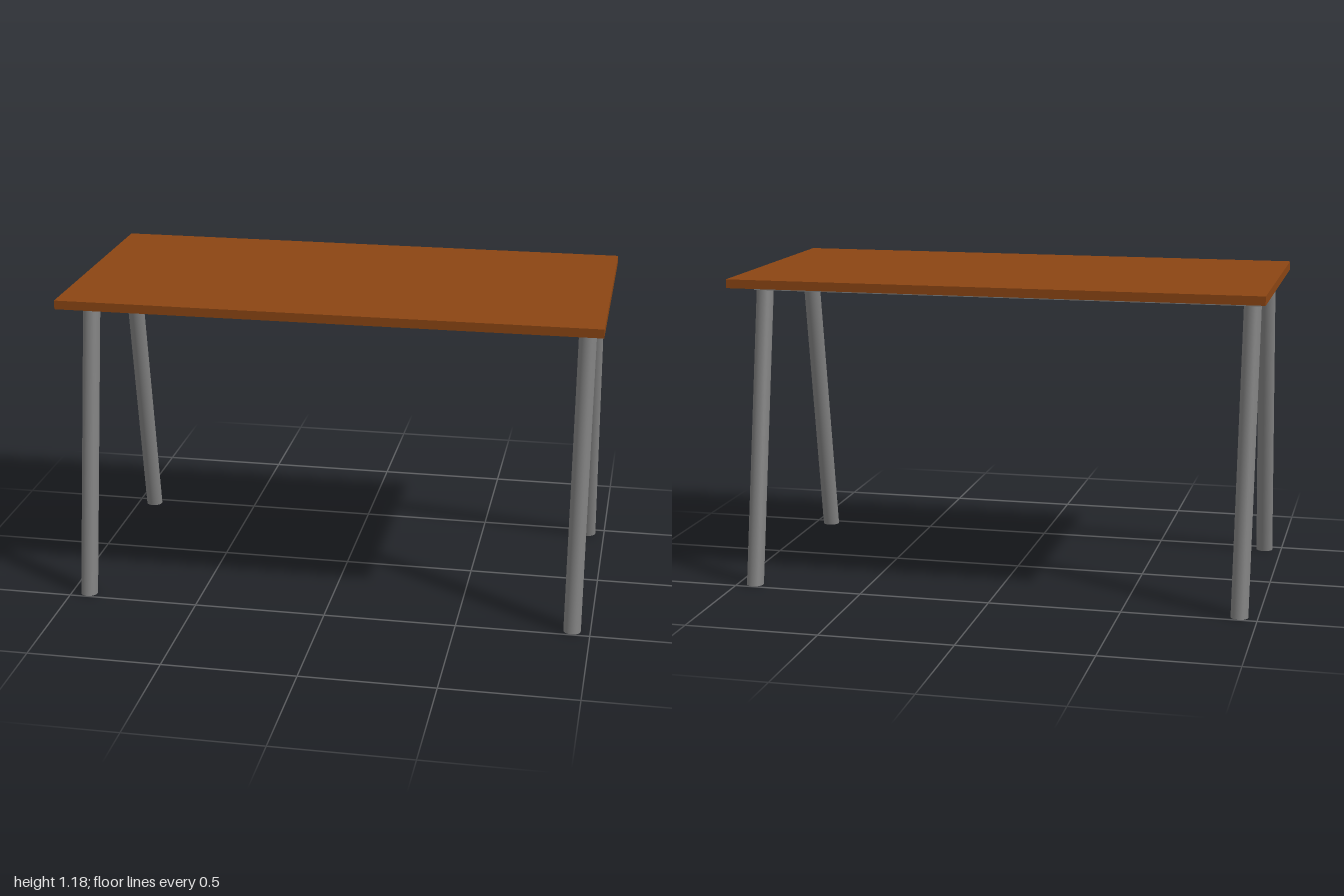
import * as THREE from 'three';

const wood = new THREE.MeshStandardMaterial({ color: 0x8b4513 });
const metal = new THREE.MeshStandardMaterial({ color: 0x808080 });

const TOP_Y = 1.185, TOP_T = 0.033;      // table top surface and thickness
const FRAME_T = 0.033, BAR = 0.065;      // frame height and bar width
const FRAME_X = 0.965, FRAME_Z = 0.3;    // frame outer half sizes
const LEG_H = TOP_Y - TOP_T - FRAME_T;
const SPLAY = 0.197;                     // outward run of each leg at the floor

function addBox(parent, name, size, pos, material) {
  const mesh = new THREE.Mesh(new THREE.BoxGeometry(...size), material);
  mesh.name = name;
  mesh.position.set(...pos);
  parent.add(mesh);
}

// Round leg sheared along z so both ends stay horizontal
function legGeometry(side) {
  const geo = new THREE.CylinderGeometry(BAR / 2, BAR / 2, LEG_H, 32);
  geo.translate(0, -LEG_H / 2, 0);
  const shear = new THREE.Matrix4();
  shear.elements[6] = -side * SPLAY / LEG_H;
  return geo.applyMatrix4(shear);
}

export function createModel() {
  const table = new THREE.Group();
  table.name = 'table';

  addBox(table, 'tableTop', [2, TOP_T, 1], [0, TOP_Y - TOP_T / 2, 0], wood);

  // Rectangular frame under the top
  const frame = new THREE.Group();
  frame.name = 'frame';
  table.add(frame);
  const frameY = LEG_H + FRAME_T / 2;
  for (const s of [1, -1]) {
    addBox(frame, s > 0 ? 'frontRail' : 'backRail', [2 * FRAME_X, FRAME_T, BAR],
      [0, frameY, s * (FRAME_Z - BAR / 2)], metal);
    addBox(frame, s > 0 ? 'leftRail' : 'rightRail', [BAR, FRAME_T, 2 * (FRAME_Z - BAR)],
      [s * (FRAME_X - BAR / 2), frameY, 0], metal);
  }

  // Four legs splayed to the front and back
  for (const sz of [1, -1]) {
    const geo = legGeometry(sz);
    for (const sx of [1, -1]) {
      const leg = new THREE.Mesh(geo, metal);
      leg.name = (sz > 0 ? 'front' : 'back') + (sx > 0 ? 'Left' : 'Right') + 'Leg';
      leg.position.set(sx * (FRAME_X - BAR / 2), LEG_H, sz * (FRAME_Z - BAR / 2));
      table.add(leg);
    }
  }
  return table;
}
